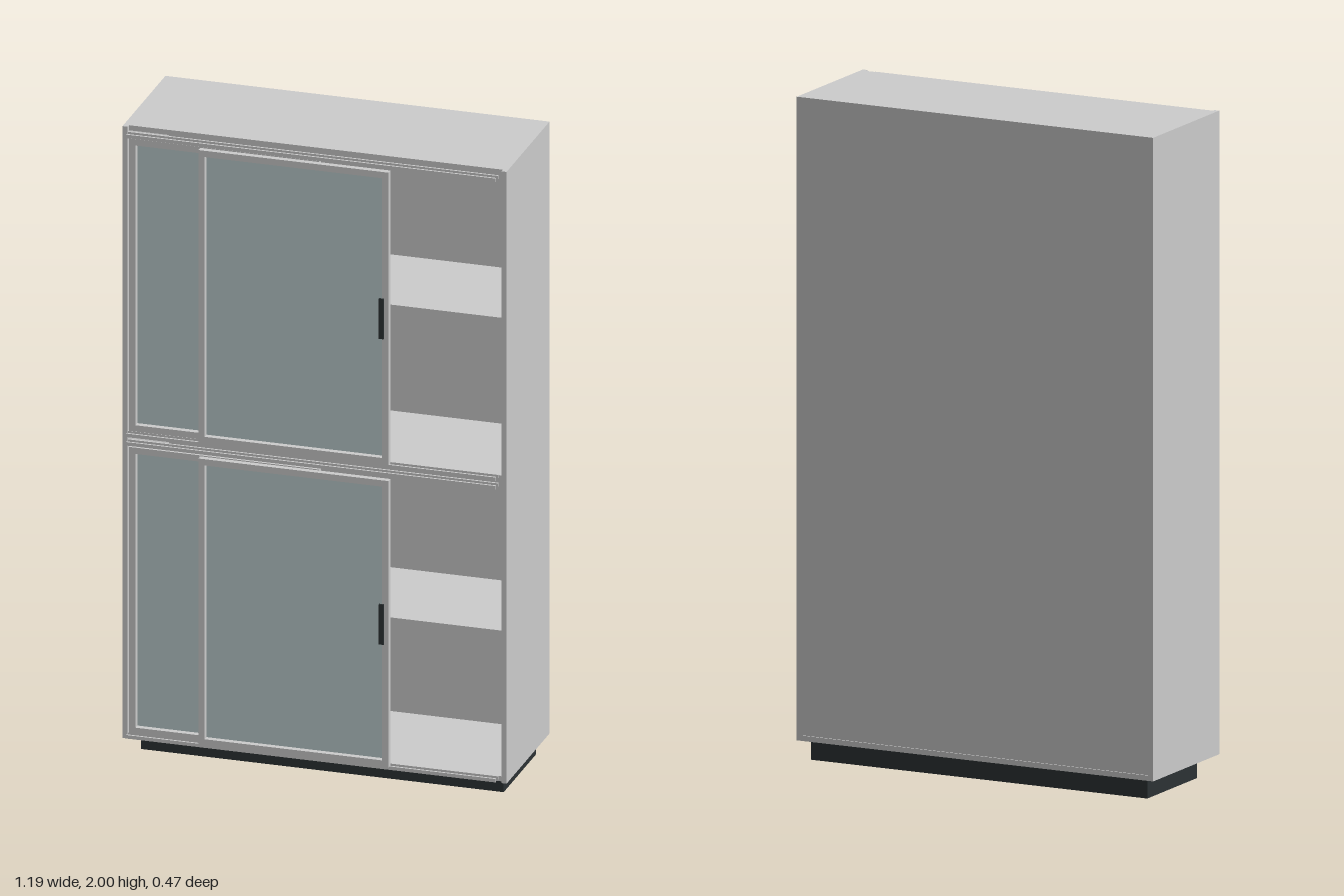
import * as THREE from 'three';

const grey = new THREE.MeshStandardMaterial({ color: 0xcccccc });
const glass = new THREE.MeshStandardMaterial({ color: 0xbacbcc });
const dark = new THREE.MeshStandardMaterial({ color: 0x2c3234 });

// Box given by its extents along each axis
function box(parent, name, [x0, x1], [y0, y1], [z0, z1], material = grey) {
  const mesh = new THREE.Mesh(new THREE.BoxGeometry(x1 - x0, y1 - y0, z1 - z0), material);
  mesh.position.set((x0 + x1) / 2, (y0 + y1) / 2, (z0 + z1) / 2);
  mesh.name = name;
  parent.add(mesh);
}

// Sliding door: mitre-free frame with a glass pane fixed behind it
function slidingDoor(name, [x0, x1], [y0, y1], [z0, z1]) {
  const door = new THREE.Group();
  door.name = name;
  const w = 0.02;
  const outline = (target, a, b, c, d) => {
    target.moveTo(a, c);
    target.lineTo(b, c);
    target.lineTo(b, d);
    target.lineTo(a, d);
    target.closePath();
    return target;
  };
  const shape = outline(new THREE.Shape(), x0, x1, y0, y1);
  shape.holes.push(outline(new THREE.Path(), x0 + w, x1 - w, y0 + w, y1 - w));
  const geometry = new THREE.ExtrudeGeometry(shape, { depth: z1 - z0, bevelEnabled: false });
  const frame = new THREE.Mesh(geometry, grey);
  frame.position.z = z0;
  frame.name = 'doorFrame';
  door.add(frame);
  const m = 0.014;
  box(door, 'glassPane', [x0 + m, x1 - m], [y0 + m, y1 - m], [z0 - 0.005, z0], glass);
  return door;
}

export function createModel() {
  const model = new THREE.Group();
  model.name = 'slidingDoorCabinet';
  const back = -0.236, front = 0.18, inner = 0.577;

  // Carcass
  box(model, 'plinth', [-0.56, 0.56], [0, 0.06], [-0.21, 0.104], dark);
  box(model, 'rightSide', [-0.593, -inner], [0.06, 2], [back, front]);
  box(model, 'leftSide', [inner, 0.593], [0.06, 2], [back, front]);
  box(model, 'backPanel', [-inner, inner], [0.077, 1.984], [back, back + 0.014]);
  const panels = { bottomPanel: 0.06, middlePanel: 1.014, topPanel: 1.984 };
  for (const [name, y] of Object.entries(panels)) {
    box(model, name, [-inner, inner], [y, y + 0.016], [back, 0.167]);
  }

  // Each compartment has a shelf, four rails and two doors
  const compartments = [
    { name: 'lower', shelf: 0.517, door: [0.088, 0.996], rails: [0.074, 1.003], handle: [0.477, 0.604] },
    { name: 'upper', shelf: 1.509, door: [1.047, 1.974], rails: [1.03, 1.978], handle: [1.446, 1.573] },
  ];
  for (const c of compartments) {
    const section = new THREE.Group();
    section.name = c.name + 'Compartment';
    model.add(section);
    box(section, 'shelf', [-inner, inner], [c.shelf, c.shelf + 0.016], [back + 0.014, 0.155]);
    for (const y of c.rails) {
      for (const z of [0.189, 0.211]) {
        box(section, 'rail', [-0.572, 0.57], [y, y + 0.011], [z - 0.003, z + 0.003]);
      }
    }
    section.add(slidingDoor('rearDoor', [-0.565, 0.022], c.door, [0.187, 0.205]));
    const frontDoor = slidingDoor('frontDoor', [-0.343, 0.245], c.door, [0.212, 0.23]);
    box(frontDoor, 'handle', [0.216, 0.231], c.handle, [0.23, 0.236], dark);
    section.add(frontDoor);
  }
  return model;
}
